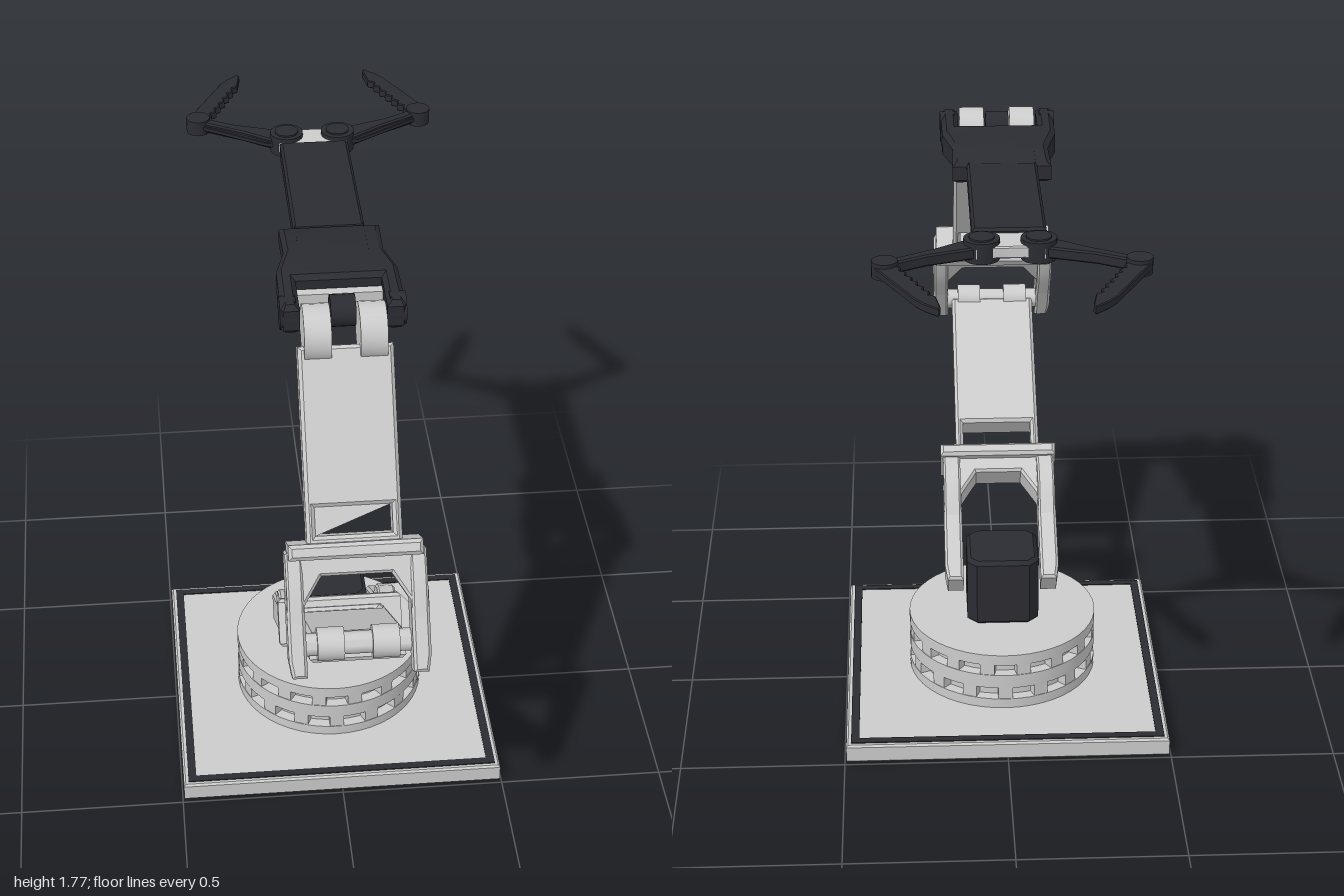
import * as THREE from 'three';
import { toCreasedNormals } from 'three/addons/utils/BufferGeometryUtils.js';

const light = new THREE.MeshStandardMaterial({ color: 0xcccccc });
const dark = new THREE.MeshStandardMaterial({ color: 0x2b2c32 });

function add(parent, name, geo, mat, x = 0, y = 0, z = 0) {
  const mesh = new THREE.Mesh(toCreasedNormals(geo, 0.6), mat);
  mesh.name = name;
  mesh.position.set(x, y, z);
  parent.add(mesh);
  return mesh;
}

const shapeOf = (pts) => new THREE.Shape(pts.map(([a, b]) => new THREE.Vector2(a, b)));
const rect = (x0, y0, x1, y1) => [[x0, y0], [x1, y0], [x1, y1], [x0, y1]];
const mirrored = (half) => [...half, ...half.map(([x, y]) => [-x, y]).reverse()];

// Bevelled slab from an outline, centred on its own thickness
function slab(pts, thick, bevel = 0.008, holes = []) {
  const shape = shapeOf(pts);
  holes.forEach((h) => shape.holes.push(shapeOf(h)));
  const geo = new THREE.ExtrudeGeometry(shape, {
    depth: thick - 2 * bevel, bevelEnabled: bevel > 0, bevelThickness: bevel,
    bevelSize: bevel, bevelOffset: -bevel, bevelSegments: 1, curveSegments: 12,
  });
  return geo.translate(0, 0, -thick / 2 + bevel);
}
const flat = (...args) => slab(...args).rotateX(Math.PI / 2); // outline in x, z
const side = (...args) => slab(...args).rotateY(-Math.PI / 2); // outline in z, y
const pin = (r, len) => new THREE.CylinderGeometry(r, r, len, 24).rotateZ(Math.PI / 2);

function buildBase(root) {
  const base = new THREE.Group();
  base.name = 'base';
  root.add(base);
  add(base, 'basePlate', flat(rect(-0.495, -0.49, 0.495, 0.49), 0.06, 0.006), light, 0, 0.03);
  add(base, 'plateInlay', flat(rect(-0.48, -0.475, 0.48, 0.475), 0.006, 0,
    [rect(-0.455, -0.45, 0.455, 0.45)]), dark, 0, 0.06);

  // Turntable: core, three bands and two staggered rows of ribs
  add(base, 'turntableCore', new THREE.CylinderGeometry(0.262, 0.262, 0.18, 48), light, 0, 0.15);
  for (const [y0, y1] of [[0.06, 0.092], [0.132, 0.178], [0.214, 0.25]]) {
    add(base, 'turntableBand', new THREE.CylinderGeometry(0.295, 0.295, y1 - y0, 48), light, 0, (y0 + y1) / 2);
  }
  for (const [y, offset] of [[0.112, 0], [0.196, 0.5]]) {
    for (let i = 0; i < 16; i++) {
      const a = ((i + offset) / 16) * Math.PI * 2;
      const rib = add(base, 'turntableRib', new THREE.BoxGeometry(0.045, 0.044, 0.035), light,
        Math.sin(a) * 0.275, y, Math.cos(a) * 0.275);
      rib.rotation.y = a;
    }
  }

  // Motor block with cut corners
  const c = 0.03;
  add(base, 'motorBlock', flat([[-0.112 + c, -0.105], [0.112 - c, -0.105], [0.112, -0.105 + c],
    [0.112, 0.115 - c], [0.112 - c, 0.115], [-0.112 + c, 0.115], [-0.112, 0.115 - c],
    [-0.112, -0.105 + c]], 0.225, 0.012), dark, 0, 0.36);
}

// Arm link along local y: fork at the bottom, collar, then a beam with a window
function buildLink(root, name, o) {
  const arm = new THREE.Group();
  arm.name = name;
  arm.position.set(0, o.y, o.z);
  arm.rotation.x = o.tilt;
  root.add(arm);
  const { collar, inner, outer, end, half } = o;

  // U-shaped fork with chamfered inner corners
  add(arm, 'fork', slab(mirrored([[inner, 0.0], [outer - 0.008, 0], [outer, 0.05], [outer, collar - 0.12],
    [outer - 0.012, collar]]).concat([[-inner, collar - 0.15], [-inner + 0.05, collar - 0.07],
    [inner - 0.05, collar - 0.07], [inner, collar - 0.15]]), 0.09), light);

  // Raised shoulders on the two cheeks
  const [b, f] = o.shoulder;
  for (const s of [-1, 1]) {
    add(arm, 'forkShoulder', side([[-0.04, collar - 0.24], [0.04, collar - 0.24], [f, collar - 0.13],
      [f, collar - 0.08], [0.045, collar], [-0.045, collar], [b, collar - 0.08], [b, collar - 0.14]],
    outer - inner - 0.004, 0.006), light, (s * (inner + outer)) / 2);
  }

  add(arm, 'collar', slab(rect(-0.186, collar - 0.022, 0.186, collar + 0.022), 0.145, 0.01), light);
  const w0 = collar + 0.04, w1 = collar + 0.12;
  const win = half - 0.025;
  add(arm, 'beam', slab(rect(-half, collar, half, end), 0.085, 0.01, [rect(-win, w0, win, w1)]), light);
  if (o.panel) {
    add(arm, 'windowPanel', new THREE.ShapeGeometry(shapeOf([[-win, w0], [win, w1], [-win, w1]])), light, 0, 0, 0.03);
  }

  // Hinge knuckles at the far end
  for (const s of [-1, 1]) {
    add(arm, 'knuckle', pin(o.knuckle, 0.075), light, s * 0.077, o.pivot, o.pivotZ);
  }
  return arm;
}

function buildForearm(root) {
  const arm = new THREE.Group();
  arm.name = 'forearm';
  arm.position.y = 1.724;
  root.add(arm);

  // Shoulder piece with hinge lugs, thinning towards the beam
  const body = flat(mirrored([[0.145, 0], [0.142, 0.14], [0.17, 0.25], [0.172, 0.445],
    [0.165, 0.455], [0.12, 0.455], [0.12, 0.3]]), 0.09, 0.014, [rect(-0.085, 0.012, 0.085, 0.15)]);
  const p = body.attributes.position;
  for (let i = 0; i < p.count; i++) {
    const t = THREE.MathUtils.clamp(p.getZ(i) / 0.28, 0, 1);
    p.setY(i, p.getY(i) * (0.68 + 0.32 * t));
  }
  body.computeVertexNormals();
  add(arm, 'forearmShoulder', body, dark);
  add(arm, 'forearmPanel', new THREE.ShapeGeometry(
    shapeOf([[-0.085, -0.012], [0.085, -0.15], [0.085, -0.012]])).rotateX(-Math.PI / 2), light, 0, 0.022);
  add(arm, 'forearmBeam', flat(rect(-0.103, -0.505, 0.103, 0.012), 0.06, 0.008), dark);
  add(arm, 'hingeTongue', pin(0.045, 0.07), dark, 0, 0, 0.41);
  for (const s of [-1, 1]) add(arm, 'hingeCap', pin(0.046, 0.045), dark, s * 0.152, 0, 0.41);
  add(arm, 'hingeCrossbar', new THREE.BoxGeometry(0.24, 0.04, 0.03), light, 0, -0.01, 0.325);

  // Gripper
  add(arm, 'gripperPlate', flat(mirrored([[0.1, -0.5], [0.11, -0.56], [0.095, -0.615], [0.04, -0.605]]),
    0.035, 0.004), light);
  for (const s of [-1, 1]) {
    const jaw = new THREE.Group();
    jaw.name = s > 0 ? 'leftJaw' : 'rightJaw';
    arm.add(jaw);
    const m = (pts) => pts.map(([x, z]) => [s * x, z]);
    add(jaw, 'gearHub', new THREE.CylinderGeometry(0.05, 0.05, 0.06, 24), dark, s * 0.078, 0, -0.567);
    add(jaw, 'gearCap', new THREE.CylinderGeometry(0.035, 0.035, 0.07, 24), dark, s * 0.078, 0, -0.567);
    add(jaw, 'mainLink', flat(m([[0.08, -0.545], [0.13, -0.55], [0.21, -0.605], [0.35, -0.685],
      [0.34, -0.715], [0.23, -0.655], [0.1, -0.61]]), 0.034, 0.005), dark);
    add(jaw, 'thinLink', flat(m([[0.1, -0.54], [0.14, -0.545], [0.365, -0.69], [0.358, -0.7], [0.135, -0.558]]),
      0.014, 0.002), dark);
    add(jaw, 'jawKnuckle', new THREE.CylinderGeometry(0.036, 0.036, 0.046, 20), dark, s * 0.342, 0, -0.698);

    // Finger with a toothed inner edge
    const finger = [[0.37, -0.69], [0.368, -0.725], [0.262, -0.935], [0.24, -0.965], [0.202, -1.0], [0.197, -0.985]];
    for (let i = 0; i <= 6; i++) {
      const t = i / 6;
      const x = 0.208 + 0.09 * t, z = -0.915 + 0.195 * t;
      finger.push([x, z], [x + 0.019, z + 0.01]);
    }
    add(jaw, 'finger', flat(m(finger), 0.024, 0.003), dark);
  }
}

export function createModel() {
  const root = new THREE.Group();
  root.name = 'robotArm';
  buildBase(root);

  const lower = buildLink(root, 'lowerArm', {
    y: 0.345, z: -0.02, tilt: THREE.MathUtils.degToRad(57.5), collar: 0.46, inner: 0.122, outer: 0.18,
    shoulder: [-0.085, 0.045], half: 0.135, end: 1.07, pivot: 1.085, pivotZ: -0.012, knuckle: 0.047,
  });
  add(lower, 'elbowPin', pin(0.032, 0.3), light, 0, 1.085, -0.012);

  buildLink(root, 'upperArm', {
    y: 0.882, z: 0.957, tilt: THREE.MathUtils.degToRad(-32), collar: 0.35, inner: 0.147, outer: 0.197,
    shoulder: [-0.062, 0.053], half: 0.132, end: 0.91, pivot: 0.945, pivotZ: 0, knuckle: 0.082, panel: true,
  });

  buildForearm(root);
  return root;
}
